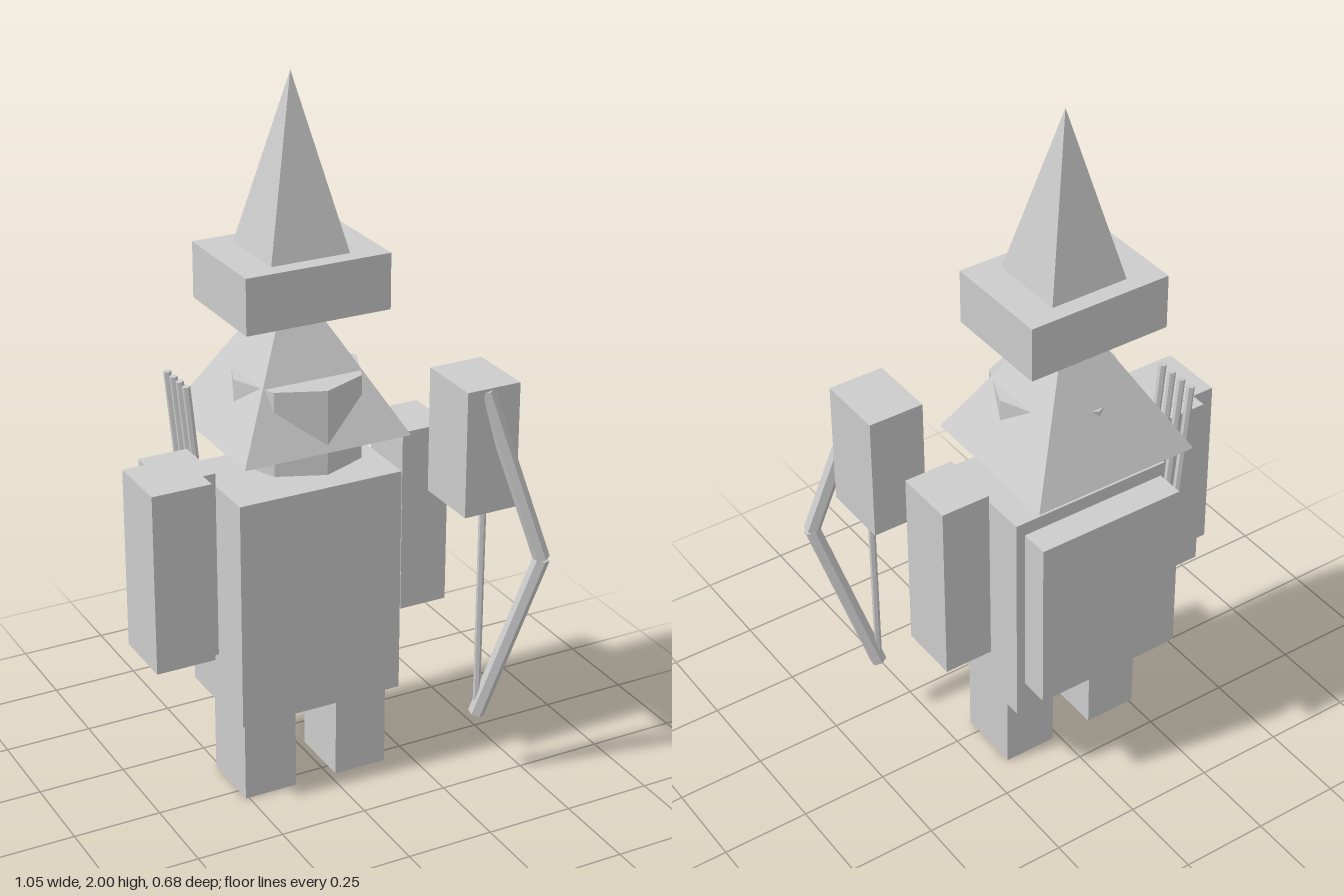
import * as THREE from 'three';

export function createModel() {
  const model = new THREE.Group();
  const stone = new THREE.MeshStandardMaterial({ color: 0xcccccc, flatShading: true });
  stone.name = 'light grey';

  const add = (name, geometry) => {
    const mesh = new THREE.Mesh(geometry, stone);
    mesh.name = name;
    model.add(mesh);
    return mesh;
  };

  // Block given by its extents on each axis
  const block = (name, [x0, x1], [y0, y1], [z0, z1]) =>
    add(name, new THREE.BoxGeometry(x1 - x0, y1 - y0, z1 - z0))
      .position.set((x0 + x1) / 2, (y0 + y1) / 2, (z0 + z1) / 2);

  // Four-sided pyramid on a rectangular base
  const pyramid = (name, x, z, y0, y1, width, depth) => {
    const g = new THREE.ConeGeometry(Math.SQRT1_2, 1, 4);
    g.rotateY(Math.PI / 4);
    g.scale(width, y1 - y0, depth);
    add(name, g).position.set(x, (y0 + y1) / 2, z);
  };

  // Thin six-sided rod between two points
  const rod = (name, from, to, radius) => {
    const a = new THREE.Vector3(...from);
    const b = new THREE.Vector3(...to);
    const dir = b.clone().sub(a);
    const mesh = add(name, new THREE.CylinderGeometry(radius, radius, dir.length(), 6));
    mesh.position.copy(a).add(b).multiplyScalar(0.5);
    mesh.quaternion.setFromUnitVectors(new THREE.Vector3(0, 1, 0), dir.normalize());
  };

  // Legs, torso and back pack
  block('rightLeg', [-0.26, -0.105], [0, 0.255], [-0.145, 0.045]);
  block('leftLeg', [0.02, 0.175], [0, 0.255], [-0.145, 0.045]);
  block('torso', [-0.283, 0.197], [0.253, 0.912], [-0.225, 0.083]);
  block('quiver', [-0.27, 0.17], [0.352, 0.872], [-0.308, -0.22]);

  // Arms
  block('rightUpperArm', [-0.46, -0.32], [0.455, 0.989], [-0.16, 0.016]);
  block('rightForearm', [-0.525, -0.356], [0.475, 0.99], [-0.115, 0.072]);
  block('leftUpperArm', [0.237, 0.379], [0.455, 0.99], [-0.16, 0.016]);
  block('leftForearm', [0.298, 0.457], [0.82, 1.18], [0.05, 0.247]);

  // Octagonal head whose corners poke through the hood
  add('head', new THREE.CylinderGeometry(0.182, 0.182, 0.238, 8)).position.set(-0.04, 1.082, -0.073);
  pyramid('hood', -0.04, -0.11, 1.03, 1.455, 0.488, 0.456);

  // Hat
  block('hatBrim', [-0.25, 0.166], [1.375, 1.53], [-0.25, 0.067]);
  pyramid('hatSpire', -0.042, -0.091, 1.53, 2, 0.226, 0.222);

  // Bow
  const grip = [0.5, 0.685, 0.315];
  const tips = [[0.362, 1.17, 0.232], [0.362, 0.2, 0.228]];
  rod('upperBowLimb', grip, tips[0], 0.023);
  rod('lowerBowLimb', grip, tips[1], 0.023);
  rod('bowString', tips[0], tips[1], 0.01);

  // Arrows sticking out of the quiver
  for (let i = 0; i < 4; i++) {
    const z = -0.27 + i * 0.04;
    rod('arrow', [-0.282, 0.76, z], [-0.322, 1.172, z], 0.011);
  }

  return model;
}
